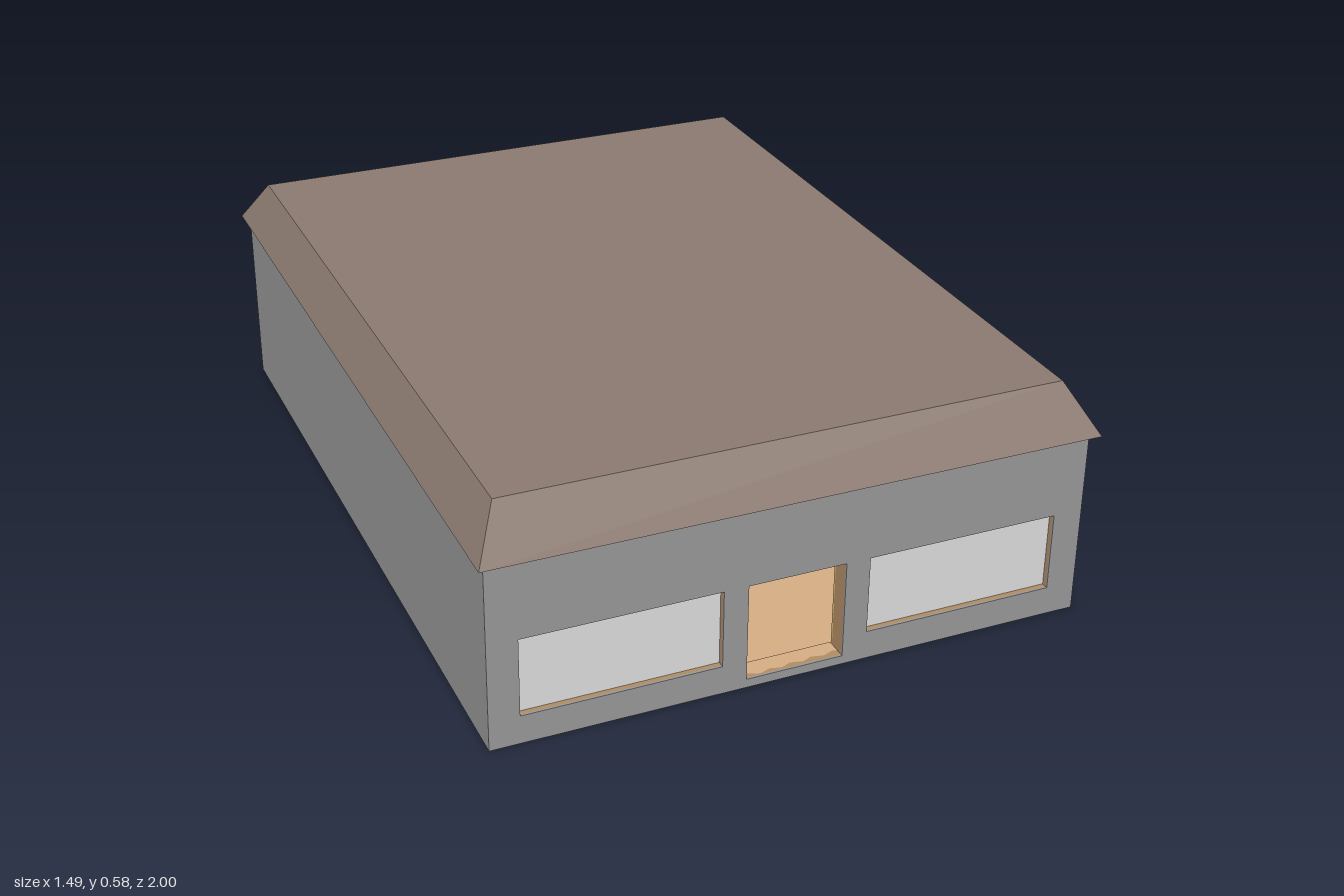
import * as THREE from 'three';

const mat = (name, color) => Object.assign(new THREE.MeshStandardMaterial({ color }), { name });

export function createModel() {
  const wallGrey = mat('wallGrey', 0x999999);
  const roofBrown = mat('roofBrown', 0x8b7a71);
  const glass = mat('windowGlass', 0xdedede);
  const plaster = mat('yellowPlaster', 0xdec06f);
  const floorTan = mat('floorTan', 0xd6ad83);
  const wood = mat('frameWood', 0xb18c64);

  const model = new THREE.Group();
  model.name = 'house';

  const add = (name, geometry, material, parent = model) => {
    const mesh = new THREE.Mesh(geometry, material);
    mesh.name = name;
    parent.add(mesh);
    return mesh;
  };

  // Box given by its two extreme corners
  const box = (name, material, x0, x1, y0, y1, z0, z1, parent) => {
    const mesh = add(name, new THREE.BoxGeometry(x1 - x0, y1 - y0, z1 - z0), material, parent);
    mesh.position.set((x0 + x1) / 2, (y0 + y1) / 2, (z0 + z1) / 2);
    return mesh;
  };

  // Upright panel facing z, with rectangular openings [x0, x1, y0, y1]
  const trace = (path, [x0, x1, y0, y1]) =>
    path.moveTo(x0, y0).lineTo(x1, y0).lineTo(x1, y1).lineTo(x0, y1).closePath();
  const panel = (name, material, outline, openings, z, depth) => {
    const shape = new THREE.Shape();
    trace(shape, outline);
    for (const o of openings) {
      const hole = new THREE.Path();
      trace(hole, o);
      shape.holes.push(hole);
    }
    const mesh = add(name, new THREE.ExtrudeGeometry(shape, { depth, bevelEnabled: false }), material);
    mesh.position.z = z;
    return mesh;
  };

  // Four thin boards lining an opening
  const frame = (name, [x0, x1, y0, y1], z0, z1, t) => {
    const group = new THREE.Group();
    group.name = name;
    model.add(group);
    box('frameLeft', wood, x1, x1 + t, y0, y1, z0, z1, group);
    box('frameRight', wood, x0 - t, x0, y0, y1, z0, z1, group);
    box('frameTop', wood, x0 - t, x1 + t, y1, y1 + t, z0, z1, group);
    box('frameSill', wood, x0 - t, x1 + t, y0 - t, y0, z0, z1, group);
  };

  const X = 0.73, Z = 0.975, H = 0.47, T = 0.006; // outer shell
  const LX = 0.68, LZ = 0.925, B = 0.012; // inner lining
  const door = [-0.12, 0.12, 0.022, 0.268];
  const windows = [[-0.657, -0.18, 0.072, 0.268], [0.18, 0.657, 0.072, 0.268]];

  // Outer walls
  panel('frontWall', wallGrey, [-X, X, 0, H], [door, ...windows], Z - T, T);
  box('backWall', wallGrey, -X, X, 0, H, -Z, -Z + T);
  for (const s of [-1, 1]) {
    const a = s * X, b = s * (X - T);
    box(s > 0 ? 'leftWall' : 'rightWall', wallGrey,
      Math.min(a, b), Math.max(a, b), 0, H, -Z + T, Z - T);
  }

  // Windows and entrance
  windows.forEach((w, i) => {
    const side = i ? 'left' : 'right';
    frame(side + 'WindowFrame', w, Z - 0.028, Z - T, 0.005);
    box(side + 'WindowPane', glass, w[0], w[1], w[2], w[3], Z - 0.026, Z - 0.018);
  });
  frame('entranceFrame', door, LZ, Z - T, 0.005);
  box('threshold', floorTan, -0.12, 0.12, B, 0.022, LZ - 0.01, Z - T);

  // Floor and inner lining
  box('floor', floorTan, -LX + T, LX - T, B, 0.02, -LZ + T, LZ - T);
  panel('frontLining', plaster, [-LX, LX, B, H], [door], LZ - T, T);
  box('backLining', plaster, -LX, LX, B, H, -LZ, -LZ + T);
  box('leftLining', plaster, LX - T, LX, B, H, -LZ + T, LZ - T);
  box('rightLining', plaster, -LX, -LX + T, B, H, -LZ + T, LZ - T);

  // Inner partitions with framed doorways
  const doorways = [[-0.54, -0.37], [-0.115, 0.04], [0.37, 0.55]]
    .map(([a, b]) => [a, b, 0.022, 0.31]);
  panel('crossPartition', plaster, [-LX + T, LX - T, 0.014, H], doorways, -0.416, 0.012);
  doorways.forEach((d, i) => frame('innerDoorFrame' + (i + 1), d, -0.42, -0.4, 0.01));
  box('rearPartition', plaster, 0.224, 0.236, 0.014, H, -LZ + T, -0.416);

  // Roof: a slab whose upper corners are drawn inward
  const roof = new THREE.BoxGeometry(1.494, 0.115, 2);
  const p = roof.attributes.position;
  for (let i = 0; i < p.count; i++) {
    if (p.getY(i) > 0) {
      p.setX(i, Math.sign(p.getX(i)) * 0.685);
      p.setZ(i, Math.sign(p.getZ(i)) * 0.915);
    }
  }
  roof.computeVertexNormals();
  add('roof', roof, roofBrown).position.y = H + 0.0575;

  return model;
}
